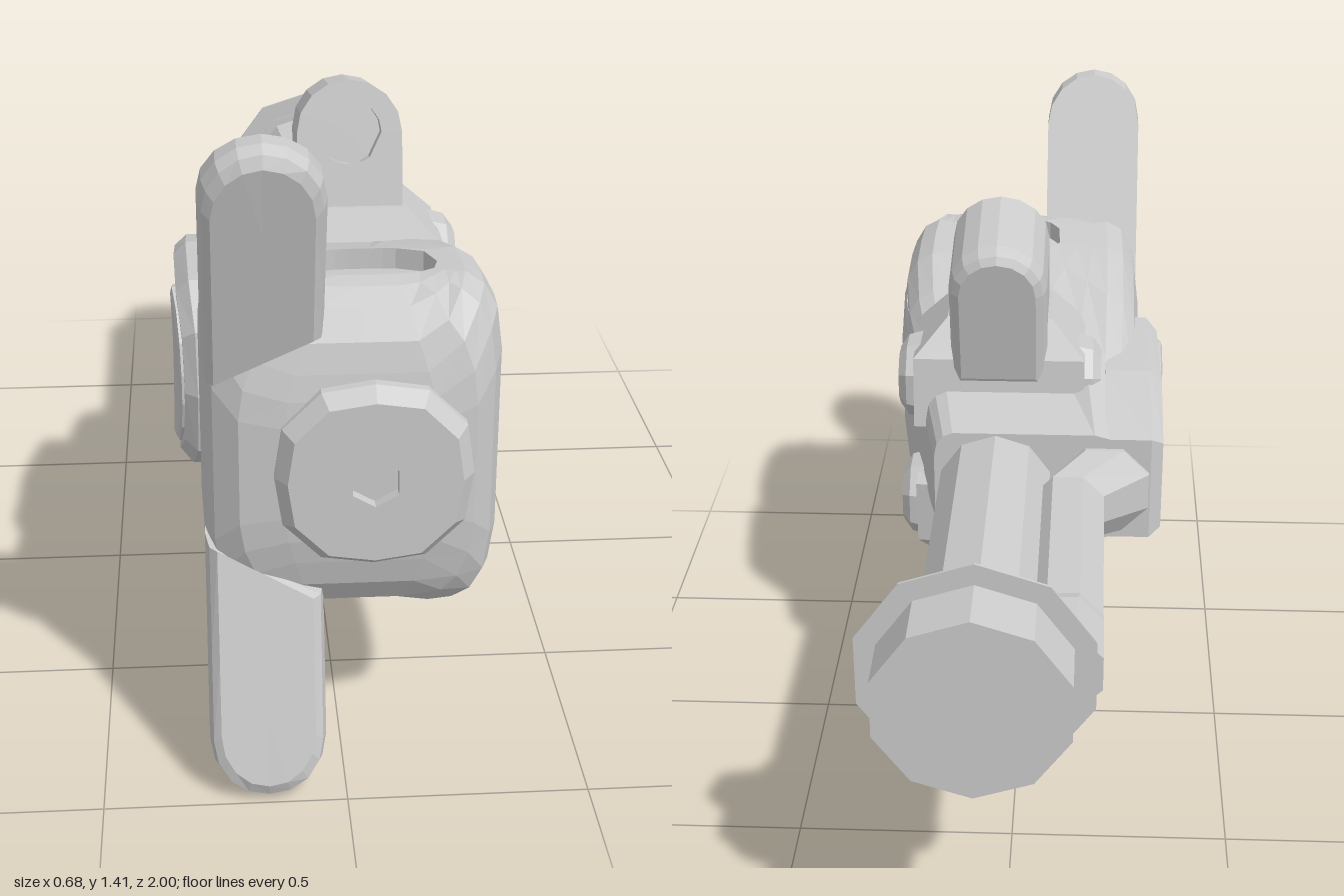
import * as THREE from 'three';

const CX = 0.055, CY = 0.715; // main axis
const material = new THREE.MeshStandardMaterial({ color: 0xcccccc, flatShading: true });

// Skin a closed surface over rings of equal point count (counter-clockwise seen from the end).
function loft(rings) {
  const n = rings[0].length, pos = [], idx = [];
  rings.forEach(r => r.forEach(p => pos.push(...p)));
  for (let i = 0; i < rings.length - 1; i++)
    for (let j = 0; j < n; j++) {
      const a = i * n + j, b = i * n + (j + 1) % n;
      idx.push(a, b, b + n, a, b + n, a + n);
    }
  [0, rings.length - 1].forEach((k, end) => {
    const c = pos.length / 3;
    for (let d = 0; d < 3; d++) pos.push(rings[k].reduce((s, p) => s + p[d], 0) / n);
    for (let j = 0; j < n; j++) {
      const a = k * n + j, b = k * n + (j + 1) % n;
      end ? idx.push(c, a, b) : idx.push(c, b, a);
    }
  });
  const g = new THREE.BufferGeometry();
  g.setAttribute('position', new THREE.Float32BufferAttribute(pos, 3));
  g.setIndex(idx);
  const flat = g.toNonIndexed();
  flat.computeVertexNormals();
  return flat;
}

// Points round a circle or, for a higher power, a rounded rectangle.
function squircle(a, rx, ry, power) {
  const c = Math.cos(a), s = Math.sin(a);
  const r = Math.pow(Math.pow(Math.abs(c / rx), power) + Math.pow(Math.abs(s / ry), power), -1 / power);
  return [c * r, s * r];
}
function oval(n, rx, ry, power = 2, start = 0) {
  return Array.from({ length: n }, (_, i) => squircle(start + i / n * Math.PI * 2, rx, ry, power));
}

// Tube along z from [z, radius, centre x] stations.
const turned = (n, stations) => loft(stations.map(([z, r, x = CX]) =>
  oval(n, r, r, 2, Math.PI / n).map(([u, v]) => [x + u, CY + v, z])));

// Half-height of the body along z.
const HEIGHTS = [[-0.09, 0.14], [0.1, 0.175], [0.25, 0.225], [0.36, 0.28], [0.55, 0.335],
  [0.76, 0.36], [0.82, 0.345], [0.865, 0.285], [0.9, 0.18]];
function halfHeight(z) {
  for (let i = 1; i < HEIGHTS.length; i++) {
    const [z0, h0] = HEIGHTS[i - 1], [z1, h1] = HEIGHTS[i];
    if (z <= z1) return h0 + (h1 - h0) * Math.max(0, (z - z0) / (z1 - z0));
  }
  return 0.18;
}

// Body and neck: plan outline stacked in y, with a sunken pill on top and bottom.
function bodyGeometry() {
  const outline = [[0.2, -0.09], [0.24, 0.1], [0.28, 0.28], [0.31, 0.4], [0.328, 0.55], [0.328, 0.68],
    [0.322, 0.76], [0.3, 0.83], [0.26, 0.88], [0.18, 0.9], [0.03, 0.9], [-0.12, 0.9], [-0.21, 0.89],
    [-0.26, 0.85], [-0.28, 0.76], [-0.285, 0.6], [-0.285, 0.4], [-0.28, 0.2], [-0.25, -0.09],
    [-0.02, -0.09]].reverse();
  const shrink = ([x, z], s) =>
    [0.03 + (x - 0.03) * s, z > 0.45 ? 0.45 + (z - 0.45) * (0.75 + s / 4) : z];
  const slice = (f, s) => outline.map(p => {
    const [x, z] = shrink(p, s);
    return [x, CY + f * halfHeight(z), z];
  });
  // Lid rings run from the top edge (t = 0) to the pill (t = 1).
  const lid = (f, t, drop = 0) => outline.map(p => {
    const [x0, z0] = shrink(p, 0.74);
    const [u, v] = squircle(Math.atan2(z0 - 0.65, x0 - 0.06), 0.14, 0.1, 3);
    const x = x0 + (0.06 + u - x0) * t, z = z0 + (0.65 + v - z0) * t;
    return [x, CY + f * (halfHeight(z) - drop), z];
  });
  const upper = f => [...[[0.55, 1], [0.8, 0.96], [0.93, 0.87]].map(([k, s]) => slice(f * k, s)),
    lid(f, 0), lid(f, 0.3), lid(f, 0.65), lid(f, 1), lid(f, 1, 0.045)];
  return loft([...upper(-1).reverse(), ...upper(1)]);
}

// Front blade: round-ended plate leaning forward, thinner at the tip.
function bladeGeometry() {
  const outline = [[-0.12, 0.185], [0.12, 0.285], [0.12, 0.4]];
  for (let i = 0; i <= 8; i++) {
    const a = i / 8 * Math.PI;
    outline.push([0.12 * Math.cos(a), 0.585 + 0.12 * Math.sin(a)]);
  }
  outline.push([-0.12, 0.4]);
  const front = y => Math.min(1, 0.885 + 0.27 * (y - 0.235));
  const back = y => 0.76 + 0.45 * (y - 0.365);
  const slice = (t, s) => outline.map(([x, y]) => {
    const yy = y > 0.4 ? 0.4 + (y - 0.4) * (0.35 + s * 0.65) : y;
    return [x * s, yy, back(yy) + (front(yy) - back(yy)) * t];
  });
  return loft([slice(0, 1), slice(0.6, 1), slice(0.9, 0.93), slice(1, 0.8)]);
}

// Lug: arched block with a round blind hole in its front face.
function lugGeometry() {
  const arch = [[-0.115, -0.42], [0, -0.42], [0.115, -0.42], [0.115, -0.26]];
  for (let i = 0; i <= 8; i++) {
    const a = i / 8 * Math.PI;
    arch.push([0.115 * Math.cos(a), -0.115 + 0.115 * Math.sin(a)]);
  }
  arch.push([-0.115, -0.26]);
  const slice = (z, s) => arch.map(([x, y]) => [x * s, -0.115 + (y + 0.115) * s, z]);
  const hole = z => arch.map(([x, y]) => {
    const [u, v] = squircle(Math.atan2(y + 0.115, x), 0.07, 0.07, 2);
    return [u, -0.115 + v, z];
  });
  return loft([slice(-0.25, 0.78), slice(-0.237, 0.93), slice(-0.205, 1), slice(0, 1), hole(0), hole(-0.04)])
    .rotateX(-0.225).translate(0, 0.605, 0.235);
}

// Sloped block under each lug.
function footGeometry() {
  const rect = (y, w, z0, z1) => [[-w, y, z1], [w, y, z1], [w, y, z0], [-w, y, z0]];
  return loft([rect(0.08, 0.205, 0.06, 0.35), rect(0.25, 0.205, 0.08, 0.35), rect(0.335, 0.125, 0.14, 0.31)]);
}

// Cross bolt with chamfered ends.
function boltGeometry() {
  return loft([[-0.245, 0.07], [-0.225, 0.098], [-0.19, 0.108], [0.19, 0.108], [0.225, 0.098], [0.245, 0.07]]
    .map(([x, r]) => oval(8, r, r, 2, Math.PI / 8).map(([u, v]) => [x, 0.165 + u, 0.175 + v])));
}

// Gently domed panel on the left flank.
function panelGeometry() {
  const ring = (s, lift) => oval(20, 0.235 * s, 0.25 * s, 3).map(([y, z]) =>
    [0.338 + lift - 0.65 * (z - 0.03) ** 2 - 0.25 * y * y, CY + y, 0.555 + z]);
  return loft([ring(1, -0.06), ring(1, -0.004), ring(0.94, 0), ring(0.5, 0)]);
}

// Side plate and the raised oval on it, on the right flank.
function plateGeometry() {
  const outline = [[-0.09, 0.13], [0.14, 0.2], [0.42, 0.22], [0.52, 0.14], [0.545, 0],
    [0.52, -0.14], [0.42, -0.22], [0.14, -0.2], [-0.09, -0.13]];
  const slice = (x, s) => outline.map(([z, y]) =>
    [x + Math.max(0, z - 0.36) * 0.12, CY + y * s, 0.22 + (z - 0.22) * (s + 1) / 2]);
  return loft([slice(-0.338, 0.86), slice(-0.31, 1), slice(-0.2, 1)]);
}
function ovalPlateGeometry() {
  const ring = (x, s) => oval(14, 0.18 * s, 0.15 * s).map(([y, z]) =>
    [x + Math.max(0, z) * 0.12, CY + y, 0.36 + z]);
  return loft([ring(-0.344, 0.93), ring(-0.34, 1), ring(-0.29, 1)]);
}

export function createModel() {
  const model = new THREE.Group();
  const add = (name, geometry) => {
    const mesh = new THREE.Mesh(geometry, material);
    mesh.name = name;
    model.add(mesh);
    return mesh;
  };
  // An upper part and its half-turned twin below the main axis.
  const addPair = (name, geometry, x) => ['upper', 'lower'].forEach((side, i) => {
    const mesh = add(side + name, geometry);
    mesh.position.set(x, CY, 0);
    mesh.rotation.z = i * Math.PI;
  });
  // Lower blade is a reflection, so its slanted foot is rebuilt with the other hand.
  const mirrorX = geometry => {
    const g = geometry.clone().scale(-1, 1, 1), p = g.attributes.position, v = new THREE.Vector3();
    for (let i = 0; i < p.count; i += 3) {
      v.fromBufferAttribute(p, i);
      p.setXYZ(i, p.getX(i + 1), p.getY(i + 1), p.getZ(i + 1));
      p.setXYZ(i + 1, v.x, v.y, v.z);
    }
    g.computeVertexNormals();
    return g;
  };

  add('body', bodyGeometry());
  add('leftPanel', panelGeometry());
  add('rightPlate', plateGeometry());
  add('rightOval', ovalPlateGeometry());

  // Front cap with a hexagonal socket
  const hexagon = z => oval(12, 1, 1).map(([u, v], i) => {
    const r = i % 2 ? 0.052 * Math.cos(Math.PI / 6) : 0.052;
    return [CX - v * r, CY + u * r, z];
  });
  const capRing = (z, r) => oval(12, r, r, 2.6).map(([u, v]) => [CX - v, CY + u, z]);
  add('frontCap', loft([capRing(0.82, 0.197), capRing(0.91, 0.197), capRing(0.945, 0.172),
    hexagon(0.945), hexagon(0.92)]));

  const blade = bladeGeometry();
  add('upperBlade', blade).position.set(-0.16, CY, 0);
  const lowerBlade = add('lowerBlade', mirrorX(blade));
  lowerBlade.position.set(-0.16, CY, 0);
  lowerBlade.rotation.z = Math.PI;

  addPair('Lug', lugGeometry(), CX);
  addPair('LugFoot', footGeometry(), CX);
  addPair('Bolt', boltGeometry(), CX);

  // Rear handle, side pipe, collar, flange and end cap
  add('handle', turned(10, [[-0.74, 0.135], [-0.05, 0.135]]));
  add('sidePipe', turned(8, [[-0.86, 0.1, -0.108], [-0.72, 0.1, -0.108], [-0.69, 0.09, -0.117],
    [-0.19, 0.09, -0.117], [-0.1, 0.115, -0.2], [-0.03, 0.115, -0.2]]));
  add('collar', turned(10, [[-0.86, 0.19], [-0.74, 0.145], [-0.72, 0.14]]));
  add('flange', turned(10, [[-0.868, 0.255], [-0.862, 0.255]]));
  add('endCap', turned(10, [[-1, 0.208], [-0.86, 0.208]]));
  return model;
}
